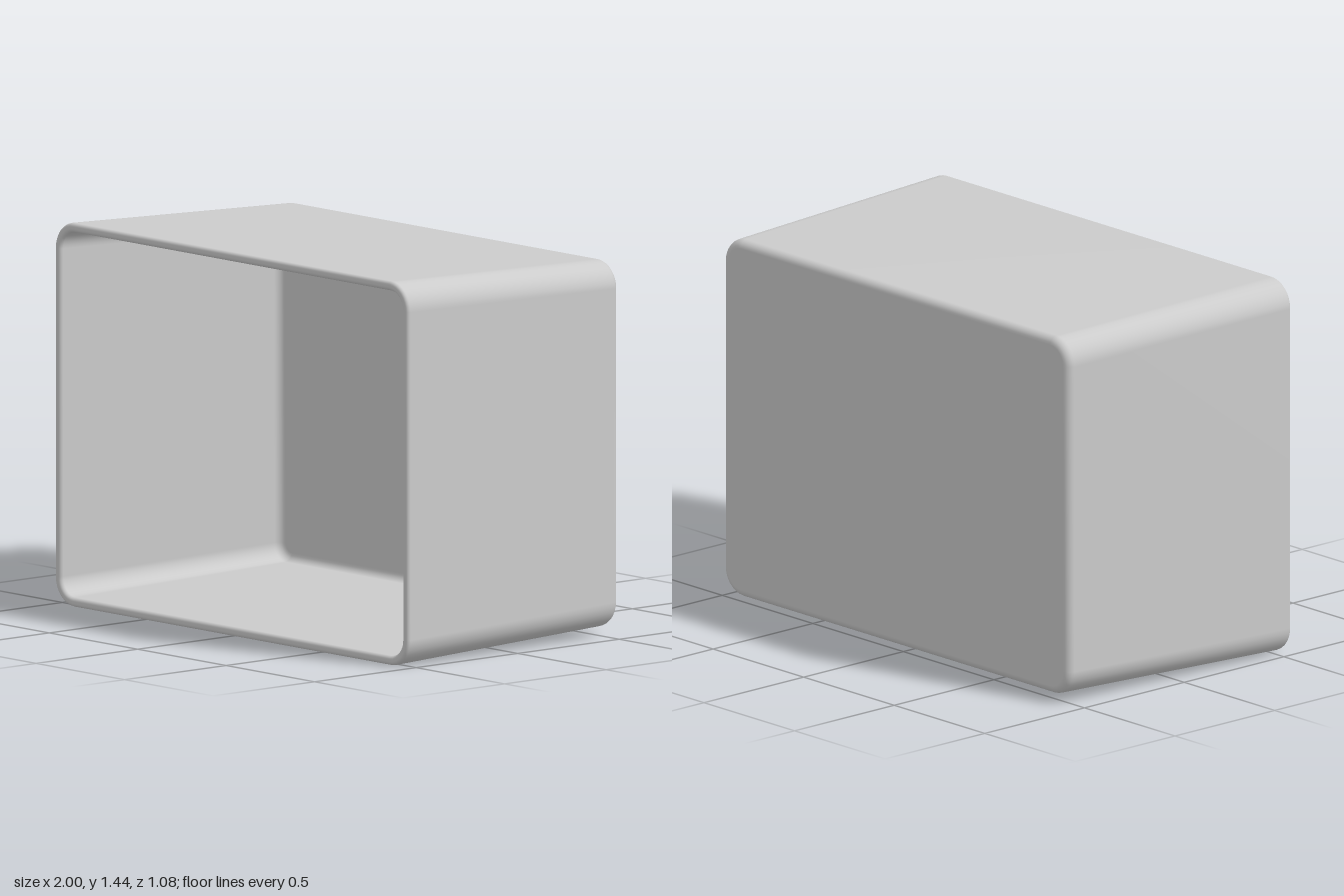
import * as THREE from 'three';

const HALF_W = 1, HALF_H = 0.722, FRONT = 0.54, BACK = -0.54;
const CORNER = 0.105, WALL = 0.035, TAPER = 0.045;
const STEPS = 8; // segments per rounded corner

// Points of an arc in the wall profile: x = inset from the outer skin, y = depth z
function arc(inset, z, radius, fromDeg, toDeg, n = 5) {
  return Array.from({ length: n + 1 }, (_, i) => {
    const a = THREE.MathUtils.degToRad(fromDeg + (toDeg - fromDeg) * i / n);
    return new THREE.Vector2(inset + radius * Math.cos(a), z + radius * Math.sin(a));
  });
}

// Rounded rectangle ring, tapering towards the back
function ring({ x: inset, y: z }) {
  const scale = 1 - TAPER * (FRONT - z) / (FRONT - BACK);
  const w = HALF_W * scale - inset, h = HALF_H * scale - inset;
  const r = Math.max(CORNER * scale - inset, 0.015);
  const points = [];
  [[1, 1], [-1, 1], [-1, -1], [1, -1]].forEach(([sx, sy], k) => {
    for (let i = 0; i <= STEPS; i++) {
      const a = (k + i / STEPS) * Math.PI / 2;
      points.push([sx * (w - r) + r * Math.cos(a), HALF_H + sy * (h - r) + r * Math.sin(a), z]);
    }
  });
  return points;
}

function shellGeometry() {
  const edge = 0.03, lip = 0.014, floor = BACK + WALL;
  const profile = [
    ...arc(edge, BACK + edge, edge, 270, 180),         // outer back edge
    ...arc(lip, FRONT - lip, lip, 180, 90),            // outer rim
    ...arc(WALL - lip, FRONT - lip, lip, 90, 0),       // inner rim
    ...arc(WALL + edge, floor + edge, edge, 180, 270), // inner back fillet
  ];
  const rings = profile.map(ring);
  const n = rings[0].length, last = (rings.length - 1) * n;
  const positions = rings.flat(2);
  const index = [];

  // Skin between neighbouring rings
  for (let i = 0; i < rings.length - 1; i++) {
    for (let j = 0; j < n; j++) {
      const a = i * n + j, b = i * n + (j + 1) % n;
      index.push(a, b, b + n, a, b + n, a + n);
    }
  }

  // Outer and inner faces of the back panel
  const outer = rings.length * n, inner = outer + 1;
  positions.push(0, HALF_H, BACK, 0, HALF_H, floor);
  for (let j = 0; j < n; j++) {
    const k = (j + 1) % n;
    index.push(outer, k, j, inner, last + j, last + k);
  }

  const geometry = new THREE.BufferGeometry();
  geometry.setAttribute('position', new THREE.Float32BufferAttribute(positions, 3));
  geometry.setIndex(index);
  geometry.computeVertexNormals();
  return geometry;
}

export function createModel() {
  const group = new THREE.Group();
  group.name = 'openBox';
  const shell = new THREE.Mesh(shellGeometry(), new THREE.MeshStandardMaterial({ color: 0xcccccc }));
  shell.name = 'shell';
  group.add(shell);
  return group;
}
